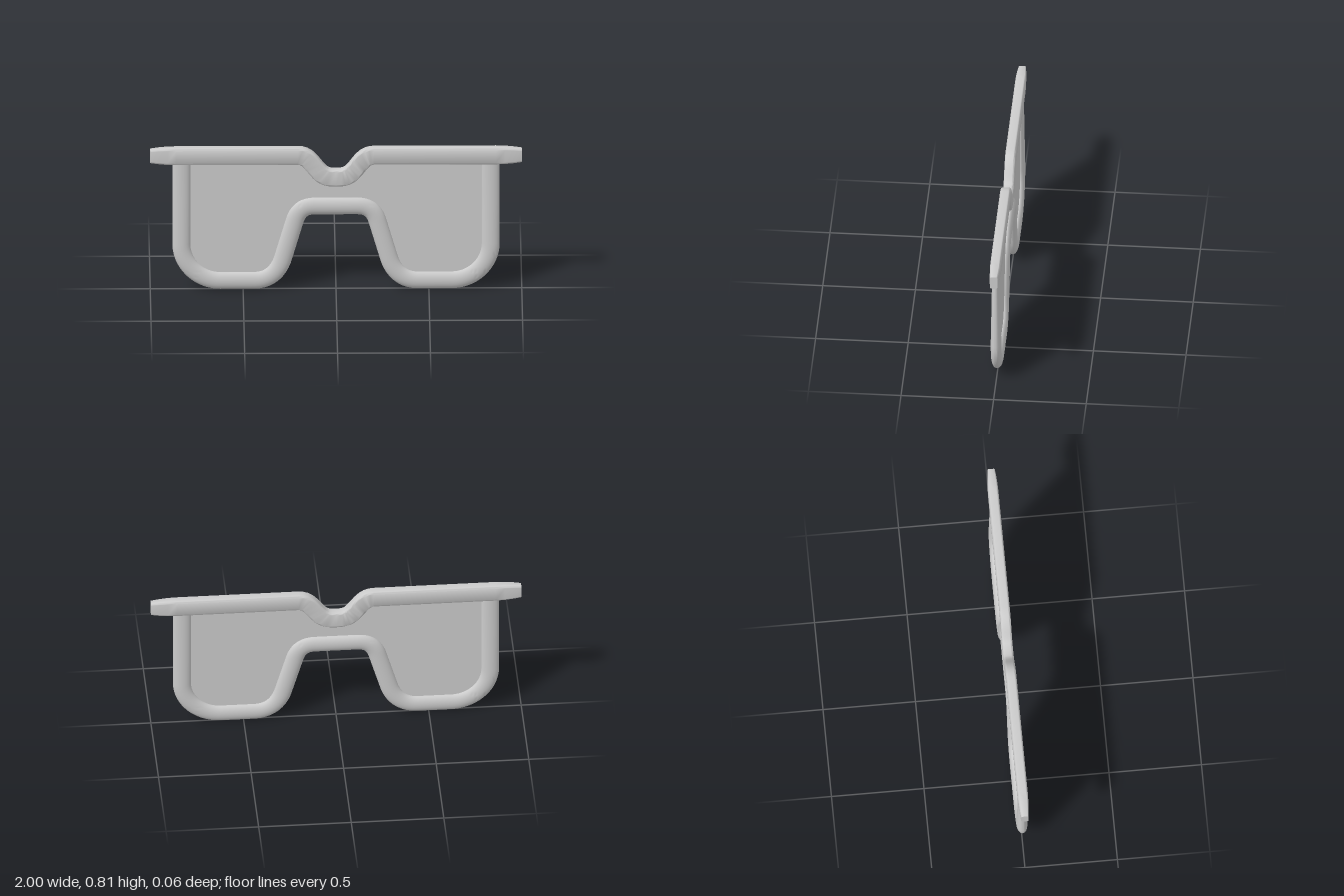
import * as THREE from 'three';
import { toCreasedNormals } from 'three/addons/utils/BufferGeometryUtils.js';

// Full left-to-right path from a half that starts at x = 0
function mirrorPath(half) {
  const left = half.slice(1).reverse().map(p => new THREE.Vector2(-p.x, p.y));
  return [...left, ...half];
}

// Sweep a cross-section (x = across the path, y = depth) along a path in the xy plane.
// scaleAt(point) gives [across, depth] factors.
function sweep(path, section, scaleAt) {
  const pos = [], idx = [], n = section.length, last = path.length - 1;
  path.forEach((p, i) => {
    const a = p.clone().sub(path[Math.max(i - 1, 0)]).normalize();
    const b = path[Math.min(i + 1, last)].clone().sub(p).normalize();
    const t = a.clone().add(b).normalize();
    const miter = 1 / t.dot(i < last ? b : a);
    const [su, sv] = scaleAt(p);
    for (const s of section) {
      const u = s.x * su * miter;
      pos.push(p.x - t.y * u, p.y + t.x * u, s.y * sv);
    }
  });
  for (let i = 0; i < last; i++) {
    for (let j = 0; j < n; j++) {
      const k = (j + 1) % n, r = i * n, q = r + n;
      idx.push(r + j, r + k, q + j, r + k, q + k, q + j);
    }
  }
  // flat end caps
  for (let j = 1; j < n - 1; j++) {
    const e = last * n;
    idx.push(0, j + 1, j, e, e + j, e + j + 1);
  }
  const g = new THREE.BufferGeometry();
  g.setAttribute('position', new THREE.Float32BufferAttribute(pos, 3));
  g.setIndex(idx);
  return toCreasedNormals(g, 0.8);
}

export function createModel() {
  const group = new THREE.Group();
  const material = new THREE.MeshStandardMaterial({ color: 0xcccccc });
  const add = (name, geometry) => {
    const mesh = new THREE.Mesh(geometry, material);
    mesh.name = name;
    group.add(mesh);
  };

  // Rim: over the nose, under the lens and up the outer side
  const rimHalf = new THREE.Path();
  rimHalf.moveTo(0, 0.476);
  rimHalf.lineTo(0.115, 0.476);
  rimHalf.bezierCurveTo(0.18, 0.476, 0.21, 0.44, 0.225, 0.385);
  rimHalf.lineTo(0.282, 0.19);
  rimHalf.bezierCurveTo(0.305, 0.1, 0.36, 0.05, 0.44, 0.05);
  rimHalf.lineTo(0.62, 0.05);
  rimHalf.absarc(0.622, 0.26, 0.21, -Math.PI / 2, 0, false);
  rimHalf.lineTo(0.832, 0.5);
  rimHalf.lineTo(0.832, 0.755);
  const rimPath = mirrorPath(rimHalf.getPoints(10));
  const oval = [];
  for (let i = 0; i < 24; i++) {
    const a = (i / 24) * Math.PI * 2;
    oval.push(new THREE.Vector2(Math.cos(a) * 0.049, Math.sin(a) * 0.029));
  }
  // the outer sides get thinner in depth towards the brow
  const rimScale = p => [1, Math.abs(p.x) > 0.7 ? 1 - 0.3 * THREE.MathUtils.clamp((p.y - 0.25) / 0.47, 0, 1) : 1];
  add('rim', sweep(rimPath, oval, rimScale));

  // Brow bar: straight wings, a dip over the nose and tapered tips
  const browHalf = new THREE.Path();
  browHalf.moveTo(0, 0.639);
  browHalf.lineTo(0.025, 0.64);
  browHalf.bezierCurveTo(0.07, 0.645, 0.085, 0.665, 0.11, 0.695);
  browHalf.bezierCurveTo(0.14, 0.735, 0.16, 0.765, 0.205, 0.765);
  for (const x of [0.86, 0.91, 0.96, 1]) browHalf.lineTo(x, 0.765);
  const browPath = mirrorPath(browHalf.getPoints(7));
  const w = 0.048, d = 0.028, r = 0.012, bar = [];
  [[1, 1], [-1, 1], [-1, -1], [1, -1]].forEach(([sx, sy], c) => {
    for (let k = 0; k <= 4; k++) {
      const a = (c + k / 4) * Math.PI / 2;
      bar.push(new THREE.Vector2(sx * (w - r) + r * Math.cos(a), sy * (d - r) + r * Math.sin(a)));
    }
  });
  const browScale = p => {
    const t = THREE.MathUtils.clamp((Math.abs(p.x) - 0.86) / 0.14, 0, 1);
    return [1 - 0.22 * t * t, 1 - 0.28 * t * t];
  };
  add('browBar', sweep(browPath, bar, browScale));

  // Lens: one thin sheet filling the space between rim and brow bar
  const top = browPath.filter(p => Math.abs(p.x) < 0.8).reverse();
  const lensShape = new THREE.Shape([...rimPath, ...top]);
  const lens = new THREE.ExtrudeGeometry(lensShape, { depth: 0.01, bevelEnabled: false });
  lens.translate(0, 0, -0.005);
  add('lens', lens);

  return group;
}
